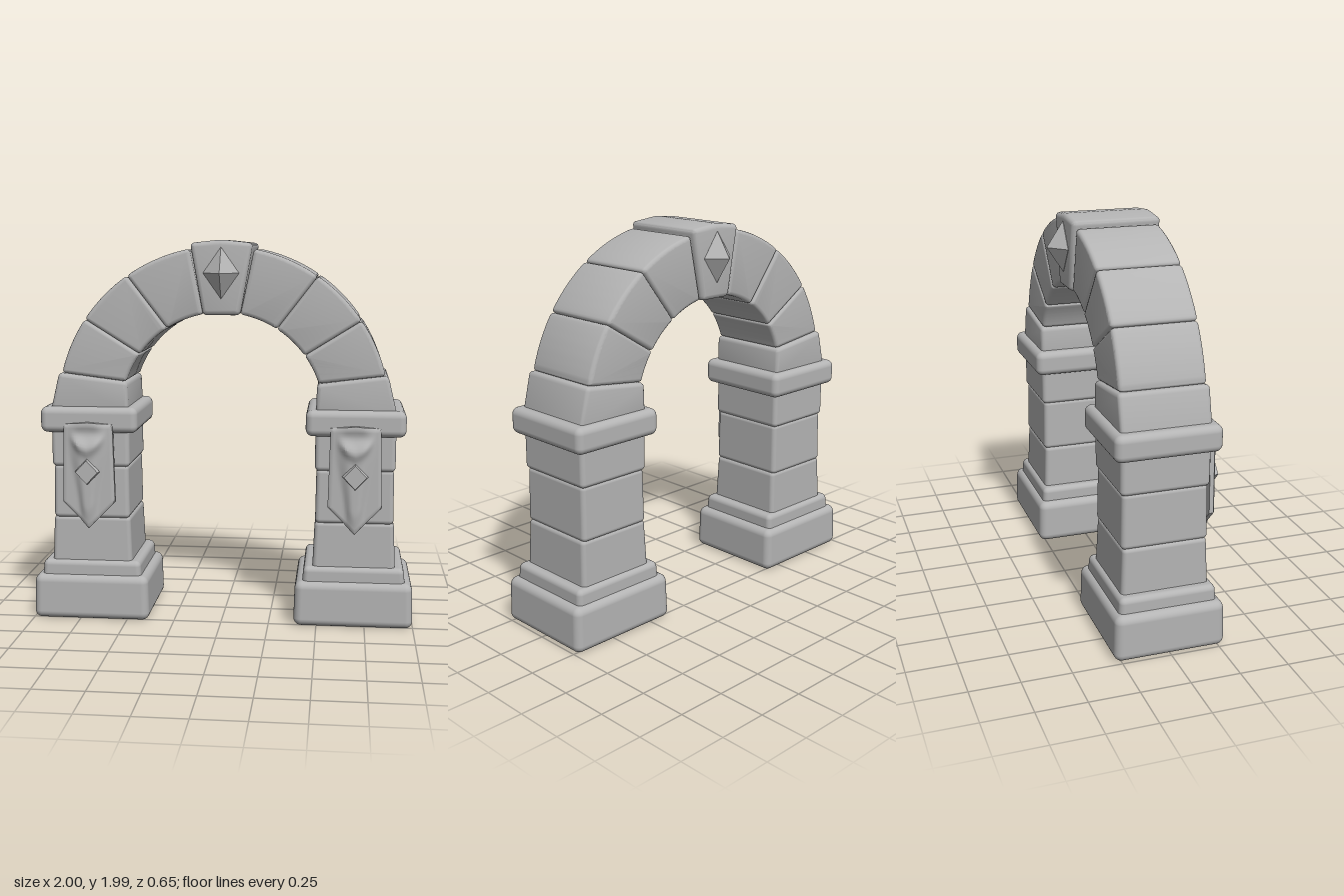
import * as THREE from 'three';
import { toCreasedNormals } from 'three/addons/utils/BufferGeometryUtils.js';
import { RoundedBoxGeometry } from 'three/addons/geometries/RoundedBoxGeometry.js';

const stone = new THREE.MeshStandardMaterial({ color: 0xb4b4b4 });
stone.name = 'grey stone';

function add(parent, name, geometry, x = 0, y = 0, z = 0) {
  const mesh = new THREE.Mesh(geometry, stone);
  mesh.name = name;
  mesh.position.set(x, y, z);
  parent.add(mesh);
  return mesh;
}

// Worn stone cut from an outline: corners softened in the outline, edges bevelled in depth
function cutStone(points, halfDepth, round = 0.022, bevel = 0.02) {
  const pts = points.map(([x, y]) => new THREE.Vector2(x, y));
  const shape = new THREE.Shape();
  pts.forEach((p, i) => {
    const before = pts[(i + pts.length - 1) % pts.length];
    const after = pts[(i + 1) % pts.length];
    const toward = (q) => p.clone().lerp(q, Math.min(0.4, round / p.distanceTo(q)));
    const a = toward(before), b = toward(after);
    if (i === 0) shape.moveTo(a.x, a.y);
    else shape.lineTo(a.x, a.y);
    shape.quadraticCurveTo(p.x, p.y, b.x, b.y);
  });
  shape.closePath();
  const geometry = new THREE.ExtrudeGeometry(shape, {
    depth: 2 * (halfDepth - bevel), bevelEnabled: true, bevelThickness: bevel,
    bevelSize: bevel, bevelOffset: -bevel, bevelSegments: 3, curveSegments: 4,
  });
  geometry.translate(0, 0, -(halfDepth - bevel));
  return toCreasedNormals(geometry, 0.7);
}

// Rounded block between two heights, narrowing towards its top by a fraction
function block(width, y0, y1, depth, radius, taper = 0) {
  const h = y1 - y0;
  const geometry = new RoundedBoxGeometry(width, h, depth, 4, radius);
  const p = geometry.attributes.position;
  for (let i = 0; i < p.count; i++) {
    const k = 1 - taper * (p.getY(i) / h + 0.5);
    p.setXYZ(i, p.getX(i) * k, p.getY(i), p.getZ(i) * k);
  }
  geometry.translate(0, (y0 + y1) / 2, 0);
  return geometry;
}

const CENTRE_Y = 1.1, INNER = 0.525, OUTER = 0.862;
function arc(radius, from, to, steps = 5) {
  return Array.from({ length: steps + 1 }, (_, i) => {
    const a = THREE.MathUtils.degToRad(from + (to - from) * i / steps);
    return [radius * Math.cos(a), CENTRE_Y + radius * Math.sin(a)];
  });
}

// Draped pennant with a pointed hem, a central fold and a sagging swag at the top
function bannerGeometry() {
  const geometry = new THREE.BoxGeometry(2, 1, 1, 24, 36, 1);
  const p = geometry.attributes.position;
  const smooth = THREE.MathUtils.smoothstep;
  for (let i = 0; i < p.count; i++) {
    const u = p.getX(i), v = 0.5 - p.getY(i), side = Math.abs(u);
    const x = u * (0.128 + 0.01 * v);
    const top = 1.06 - 0.012 * side;
    const y = top + (0.5 + 0.14 * side - top) * v;
    let z = 0.25;
    if (p.getZ(i) > 0) {
      const foldWidth = 0.88 - 0.5 * smooth(v, 0.15, 0.95);
      const fold = 1 - smooth(side, foldWidth * 0.25, foldWidth);
      const swagLine = 0.25 - 0.2 * u * u;
      const swag = Math.exp(-(((v - swagLine) / 0.06) ** 2)) * (1 - smooth(side, 0.35, 0.8));
      const hollow = Math.exp(-(((v - 0.1) / 0.07) ** 2)) * (1 - smooth(side, 0.2, 0.75));
      z = 0.28 + 0.026 * fold * (1 - 0.5 * smooth(v, 0.8, 1)) + 0.018 * swag - 0.018 * hollow;
      if (side > 0.99 || v < 0.01 || v > 0.99) z -= 0.008;
    }
    p.setXYZ(i, x, y, z);
  }
  return toCreasedNormals(geometry, 0.75);
}

function diamondPlate(halfWidth, halfHeight, depth) {
  const geometry = new THREE.CylinderGeometry(0.88, 1, depth, 4).toNonIndexed();
  geometry.rotateX(Math.PI / 2);
  geometry.scale(halfWidth, halfHeight, 1);
  return toCreasedNormals(geometry, 0.3);
}

export function createModel() {
  const model = new THREE.Group();
  model.name = 'stoneArch';

  for (const side of [1, -1]) {
    const label = side > 0 ? 'left' : 'right';

    // Pillar with stepped base, shaft stones and capital
    const pillar = new THREE.Group();
    pillar.name = label + 'Pillar';
    pillar.position.x = side * 0.69;
    model.add(pillar);
    add(pillar, 'plinth', block(0.618, 0, 0.238, 0.568, 0.04, 0.02));
    add(pillar, 'plinthStep', block(0.535, 0.19, 0.312, 0.505, 0.028, 0.03));
    add(pillar, 'lowerShaftStone', block(0.43, 0.27, 0.548, 0.45, 0.024, 0.05));
    add(pillar, 'middleShaftStone', block(0.405, 0.538, 0.825, 0.44, 0.024, 0.02));
    add(pillar, 'upperShaftStone', block(0.412, 0.815, 1.05, 0.45, 0.024, 0));
    add(pillar, 'capital', block(0.51, 1.0, 1.135, 0.535, 0.036, 0));

    // Banner on the front of the pillar
    add(pillar, 'banner', bannerGeometry());
    add(pillar, 'bannerDiamond', diamondPlate(0.066, 0.07, 0.026), 0, 0.805, 0.314);

    // Arch stones, from the springer up to the keystone
    const flip = (points) => points.map(([x, y]) => [side * x, y]);
    const springer = [[0.485, 1.1], [0.9, 1.1], [0.85, 1.31], [0.49, 1.265]];
    add(model, label + 'Springer', cutStone(flip(springer), 0.228));
    const innerAngles = [18.5, 36, 57.5, 79.5];
    const outerAngles = [14, 34.4, 55.5, 79];
    for (let i = 0; i < 3; i++) {
      const outline = [
        ...arc(OUTER, outerAngles[i], outerAngles[i + 1]),
        ...arc(INNER, innerAngles[i + 1], innerAngles[i]),
      ];
      add(model, label + 'ArchStone' + (i + 1), cutStone(flip(outline), 0.217));
    }
  }

  // Keystone with a pointed gem on both faces
  const keystone = [[-0.095, 1.612], [0.095, 1.612], [0.16, 1.975], [0, 1.992], [-0.16, 1.975]];
  add(model, 'keystone', cutStone(keystone, 0.232, 0.025, 0.024));
  for (const face of [1, -1]) {
    const gem = add(model, face > 0 ? 'frontGem' : 'backGem',
      new THREE.OctahedronGeometry(1), 0, 1.825, face * 0.235);
    gem.scale.set(0.092, 0.13, 0.086);
  }

  return model;
}
